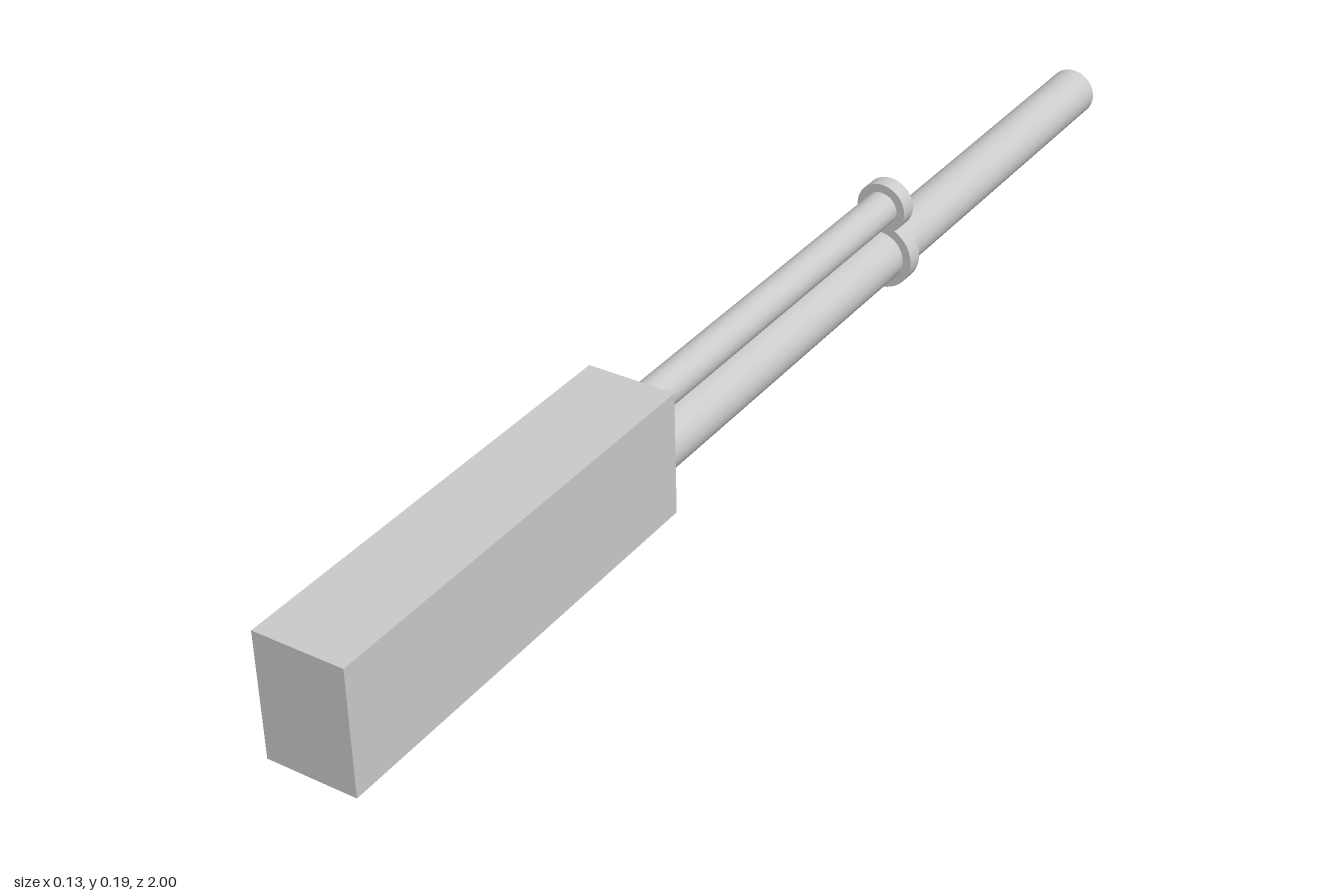
import * as THREE from 'three';

export function createModel() {
  const group = new THREE.Group();
  const material = new THREE.MeshStandardMaterial({ color: 0xcccccc });

  const add = (name, geometry, y, z) => {
    const mesh = new THREE.Mesh(geometry, material);
    mesh.name = name;
    mesh.position.set(0, y, z);
    group.add(mesh);
  };

  // Round part lying along z between two depths
  const rod = (name, radius, y, zBack, zFront) => {
    const geometry = new THREE.CylinderGeometry(radius, radius, zFront - zBack, 48);
    geometry.rotateX(Math.PI / 2);
    add(name, geometry, y, (zBack + zFront) / 2);
  };

  const bodyBack = 0.333;
  const lowerY = 0.0533, upperY = 0.1333;
  const collarBack = -0.36, collarFront = -0.333;

  // Rectangular body
  add('body', new THREE.BoxGeometry(0.1333, 0.1867, 1 - bodyBack), 0.0933, (1 + bodyBack) / 2);

  // Long lower tube and shorter upper tube
  rod('lowerTube', 0.04, lowerY, -1, bodyBack);
  rod('upperTube', 0.0267, upperY, collarFront, bodyBack);

  // Collars joining the two tubes
  rod('lowerCollar', 0.0533, lowerY, collarBack, collarFront);
  rod('upperCollar', 0.04, upperY, collarBack, collarFront);

  return group;
}
